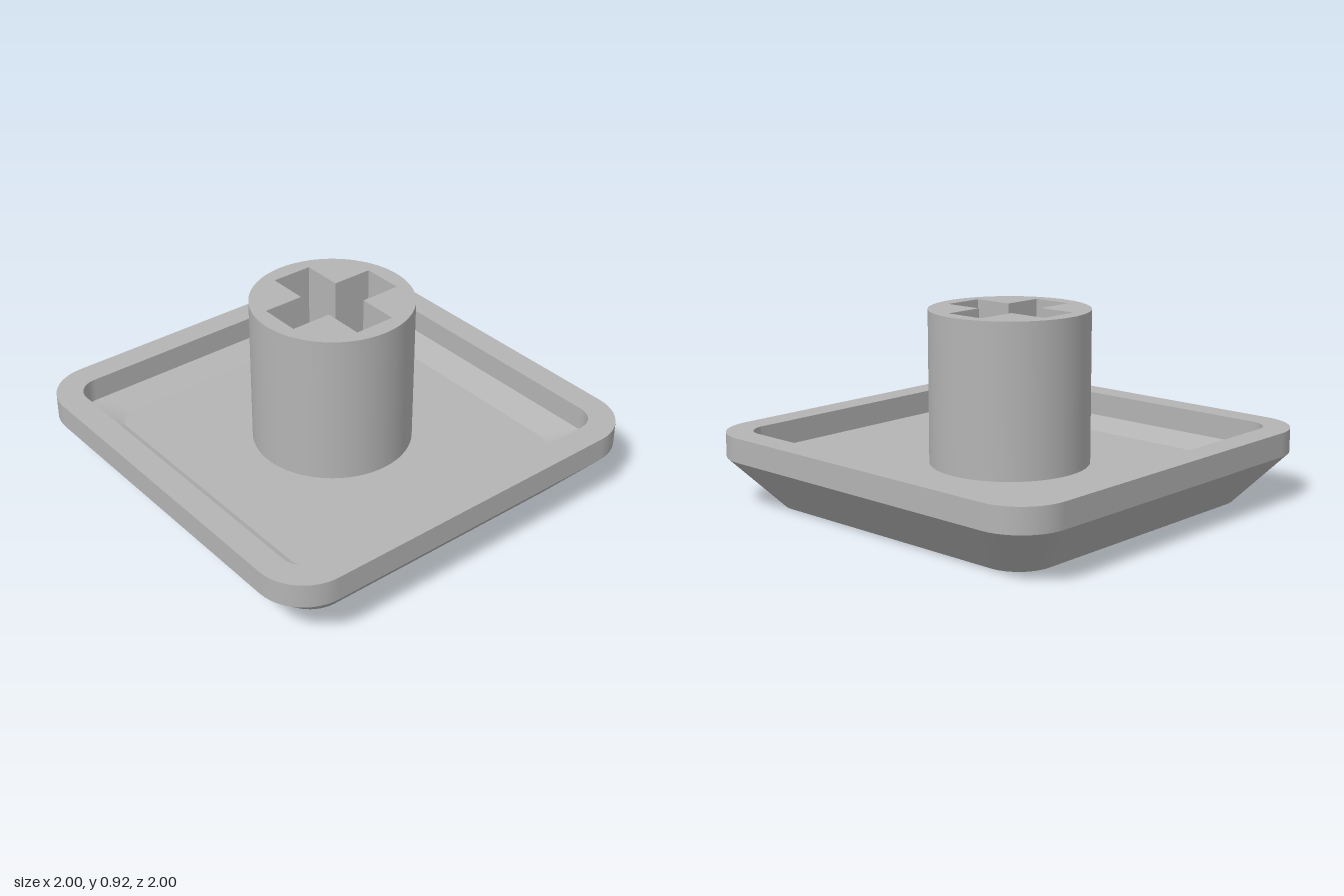
import * as THREE from 'three';
import { toCreasedNormals } from 'three/addons/utils/BufferGeometryUtils.js';

const FLOOR_Y = 0.19;
const STEM_TOP = 0.915;

// Points around a rounded square of half-width h and corner radius r at height y
function roundedSquare({ h, r, y }, steps = 12) {
  const points = [];
  for (let corner = 0; corner < 4; corner++) {
    const mid = (corner + 0.5) * Math.PI / 2;
    const cx = Math.sign(Math.cos(mid)) * (h - r);
    const cz = Math.sign(Math.sin(mid)) * (h - r);
    for (let i = 0; i <= steps; i++) {
      const a = (corner + i / steps) * Math.PI / 2;
      points.push(cx + r * Math.cos(a), y, cz + r * Math.sin(a));
    }
  }
  return points;
}

// Smooth strip joining two rounded squares
function band(from, to) {
  const a = roundedSquare(from);
  const b = roundedSquare(to);
  const n = a.length / 3;
  const index = [];
  for (let i = 0; i < n; i++) {
    const j = (i + 1) % n;
    index.push(i, n + i, j, j, n + i, n + j);
  }
  const geometry = new THREE.BufferGeometry();
  geometry.setAttribute('position', new THREE.Float32BufferAttribute([...a, ...b], 3));
  geometry.setIndex(index);
  geometry.computeVertexNormals();
  return geometry;
}

export function createModel() {
  const model = new THREE.Group();
  model.name = 'upturnedKeycap';
  const plastic = new THREE.MeshStandardMaterial({ color: 0xb4b4b4 });
  plastic.name = 'grey plastic';

  // Shell: one continuous section from the underside, over the rim, to the floor
  const shell = new THREE.Group();
  shell.name = 'shell';
  const section = [
    { h: 0, r: 0, y: 0 },
    { h: 0.8, r: 0.17, y: 0 },
    { h: 1, r: 0.23, y: 0.235 },
    { h: 1, r: 0.23, y: 0.35 },
    { h: 0.875, r: 0.11, y: 0.35 },
    { h: 0.875, r: 0.11, y: 0.235 },
    { h: 0.74, r: 0.1, y: FLOOR_Y },
    { h: 0, r: 0, y: FLOOR_Y },
  ];
  const names = ['underside', 'outerBevel', 'outerWall', 'rim', 'innerWall', 'innerSlope', 'floor'];
  names.forEach((name, i) => {
    const mesh = new THREE.Mesh(band(section[i], section[i + 1]), plastic);
    mesh.name = name;
    shell.add(mesh);
  });
  model.add(shell);

  // Round stem with a cross-shaped socket
  const outline = new THREE.Shape();
  outline.absarc(0, 0, 0.378, 0, Math.PI * 2, false);
  const w = 0.1;
  const l = 0.298;
  const cross = [[l, -w], [l, w], [w, w], [w, l], [-w, l], [-w, w],
    [-l, w], [-l, -w], [-w, -w], [-w, -l], [w, -l], [w, -w]];
  outline.holes.push(new THREE.Path(cross.map(([x, y]) => new THREE.Vector2(x, y))));
  const stemGeometry = new THREE.ExtrudeGeometry(outline, {
    depth: STEM_TOP - FLOOR_Y, bevelEnabled: false, curveSegments: 64,
  });
  stemGeometry.rotateX(-Math.PI / 2);
  const stem = new THREE.Mesh(toCreasedNormals(stemGeometry, 0.5), plastic);
  stem.name = 'stem';
  stem.position.y = FLOOR_Y;
  model.add(stem);

  return model;
}
